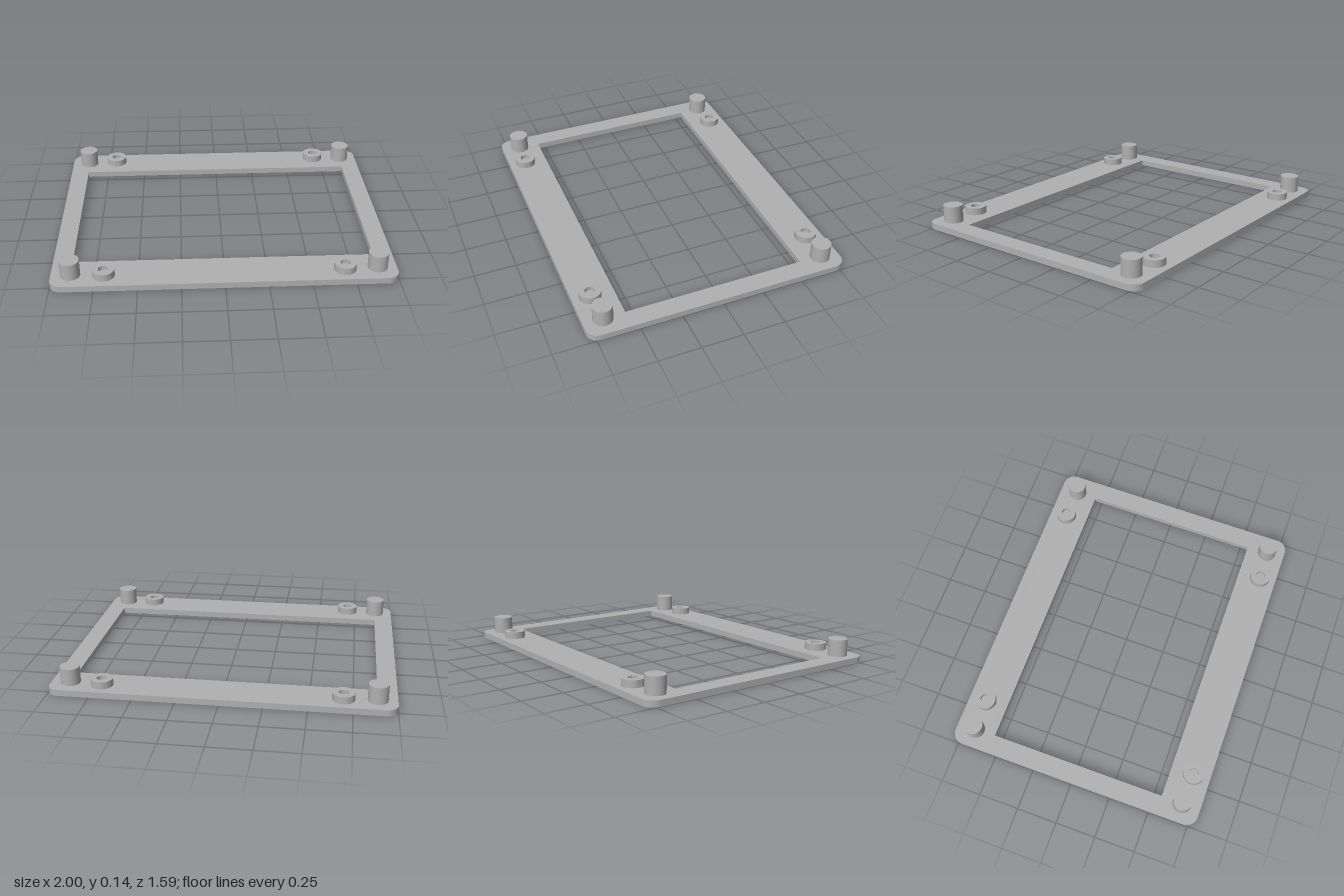
import * as THREE from 'three';
import { toCreasedNormals } from 'three/addons/utils/BufferGeometryUtils.js';

const PLATE_H = 0.037, BOSS_H = 0.08, PEG_H = 0.14;
const BOSS = { x: 0.696, z: 0.687, r: 0.065, bore: 0.029, pocket: 0.047 };
const PEG = { x: 0.887, z: 0.677, r: 0.058 };
const CORNERS = [
  ['frontLeft', 1, 1], ['frontRight', -1, 1],
  ['backLeft', 1, -1], ['backRight', -1, -1],
];

// Rectangular frame with rounded outer corners, a window and four screw pockets
function frameGeometry() {
  const w = 1, d = 0.793, r = 0.07;
  const shape = new THREE.Shape();
  shape.moveTo(-w + r, -d);
  shape.absarc(w - r, -d + r, r, -Math.PI / 2, 0);
  shape.absarc(w - r, d - r, r, 0, Math.PI / 2);
  shape.absarc(-w + r, d - r, r, Math.PI / 2, Math.PI);
  shape.absarc(-w + r, -d + r, r, Math.PI, Math.PI * 1.5);

  const hx = 0.885, hz = 0.547;
  shape.holes.push(new THREE.Path([
    [-hx, -hz], [-hx, hz], [hx, hz], [hx, -hz],
  ].map(([x, y]) => new THREE.Vector2(x, y))));
  for (const [, sx, sz] of CORNERS) {
    shape.holes.push(new THREE.Path().absarc(sx * BOSS.x, sz * BOSS.z, BOSS.pocket, 0, Math.PI * 2, true));
  }
  const geo = new THREE.ExtrudeGeometry(shape, { depth: PLATE_H, bevelEnabled: false, curveSegments: 24 });
  geo.rotateX(-Math.PI / 2);
  return toCreasedNormals(geo, 0.6);
}

function lathe(points) {
  const geo = new THREE.LatheGeometry(points.map(([x, y]) => new THREE.Vector2(x, y)), 48);
  return toCreasedNormals(geo, 0.6);
}

export function createModel() {
  const grey = new THREE.MeshStandardMaterial({ color: 0xb0b0b0 });
  grey.name = 'grey plastic';

  const model = new THREE.Group();
  model.name = 'mountingFrame';
  const add = (name, geo, x = 0, y = 0, z = 0) => {
    const mesh = new THREE.Mesh(geo, grey);
    mesh.name = name;
    mesh.position.set(x, y, z);
    model.add(mesh);
  };

  add('framePlate', frameGeometry());

  // Raised ring with a blind bore on top, and the wider pocket beneath it
  const web = 0.05;
  const ring = lathe([
    [BOSS.r, PLATE_H], [BOSS.r, BOSS_H], [BOSS.bore, BOSS_H], [BOSS.bore, web + 0.005], [0, web + 0.005],
  ]);
  const pocket = lathe([[0, web], [BOSS.pocket, web], [BOSS.pocket, PLATE_H]]);
  const peg = new THREE.CylinderGeometry(PEG.r, PEG.r, PEG_H - PLATE_H, 48);

  for (const [corner, sx, sz] of CORNERS) {
    add(corner + 'ScrewBoss', ring, sx * BOSS.x, 0, sz * BOSS.z);
    add(corner + 'ScrewPocket', pocket, sx * BOSS.x, 0, sz * BOSS.z);
    add(corner + 'Peg', peg, sx * PEG.x, (PEG_H + PLATE_H) / 2, sz * PEG.z);
  }
  return model;
}
